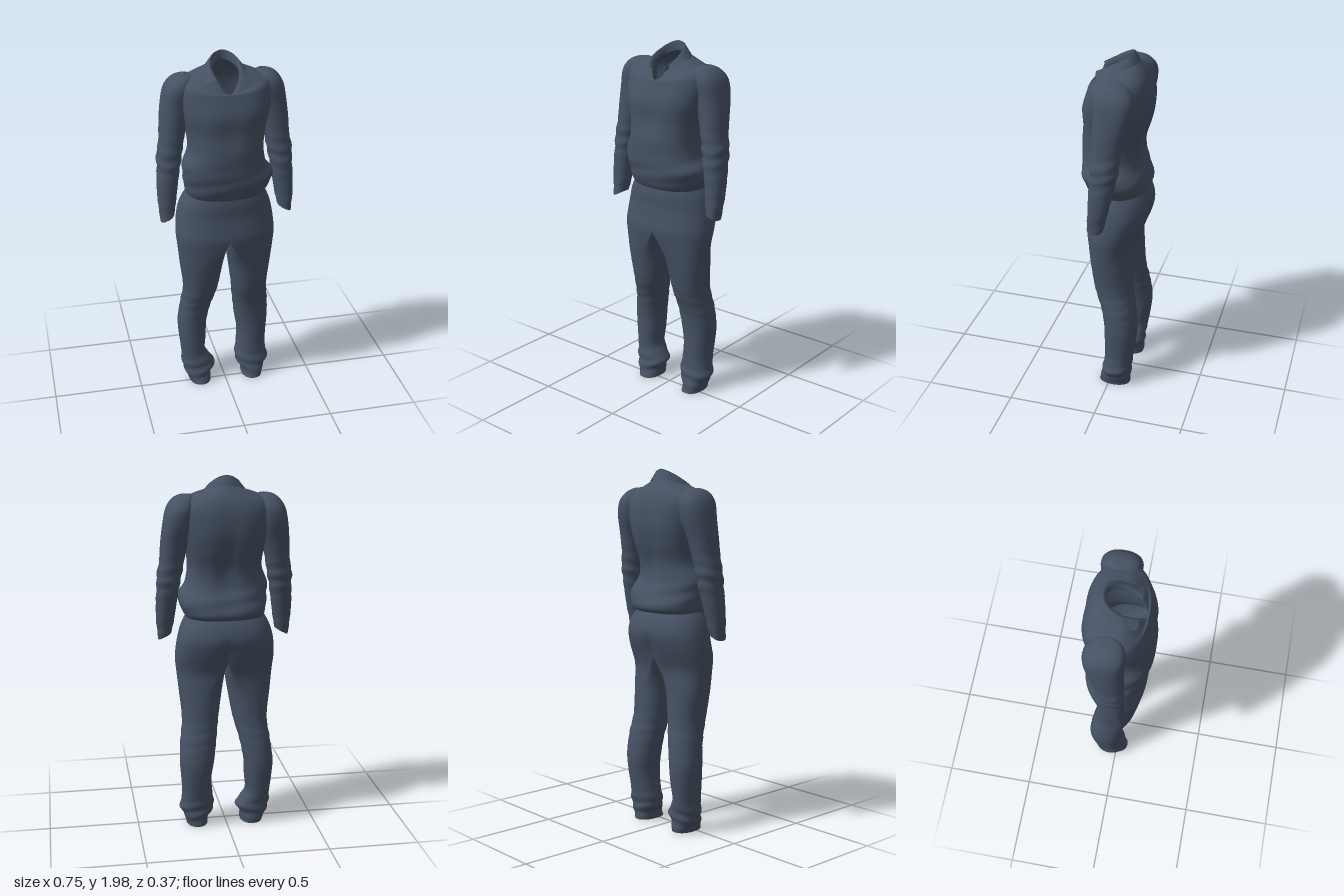
import * as THREE from 'three';

const SEG = 48, SUB = 6;

// Catmull-Rom interpolation of whole table rows
function refine(rows) {
  const out = [], n = rows.length;
  const at = i => rows[Math.min(n - 1, Math.max(0, i))];
  for (let i = 0; i < n - 1; i++) {
    for (let k = 0; k < SUB; k++) {
      const t = k / SUB, [a, b, c, d] = [at(i - 1), at(i), at(i + 1), at(i + 2)];
      out.push(b.map((q, j) => 0.5 * (2 * q + (c[j] - a[j]) * t +
        (2 * a[j] - 5 * q + 4 * c[j] - d[j]) * t * t +
        (3 * q - a[j] - 3 * c[j] + d[j]) * t * t * t)));
    }
  }
  out.push(rows[n - 1]);
  return out;
}

// Triangulates a grid of points; rows run upwards, columns run around
function gridGeometry(rows, closed, skip = () => false) {
  const w = rows[0].length, pos = rows.flat(2), index = [];
  for (let i = 0; i < rows.length - 1; i++) {
    for (let j = 0; j < (closed ? w : w - 1); j++) {
      if (skip(i, j)) continue;
      const k = (j + 1) % w;
      const a = i * w + j, b = a + w, c = i * w + k, d = c + w;
      index.push(a, b, c, c, b, d);
    }
  }
  const g = new THREE.BufferGeometry();
  g.setAttribute('position', new THREE.Float32BufferAttribute(pos, 3));
  g.setIndex(index);
  g.computeVertexNormals();
  return g;
}

const pw = (v, n) => Math.sign(v) * Math.pow(Math.abs(v), 2 / n);
const bump = (v, c, r) => Math.exp(-(((v - c) / r) ** 2));

// One superellipse point: row = [y, x0, x1, zBack, zFront, squareness]
function sectionPoint(row, a, fold = 0) {
  const [y, x0, x1, zb, zf, n] = row;
  const c = pw(Math.cos(a), n), s = pw(Math.sin(a), n), f = 1 + fold;
  return [(x0 + x1) / 2 + (x1 - x0) / 2 * c * f, y, (zb + zf) / 2 + (zf - zb) / 2 * s * f];
}
const around = fn => Array.from({ length: SEG }, (_, j) => fn((j / SEG) * Math.PI * 2, j));

// Shirt body: two more columns are the front dip and back lift of the neckline
function shirtGeometry() {
  const rows = refine([
    [1.225, -0.2, 0.2, -0.14, 0.135, 2.3, 0, 0],
    [1.235, -0.213, 0.218, -0.172, 0.15, 2.3, 0, 0],
    [1.27, -0.222, 0.235, -0.186, 0.165, 2.4, 0, 0],
    [1.34, -0.23, 0.258, -0.165, 0.18, 2.4, 0, 0],
    [1.41, -0.235, 0.215, -0.14, 0.183, 2.4, 0, 0],
    [1.5, -0.205, 0.2, -0.143, 0.185, 2.4, 0, 0],
    [1.6, -0.212, 0.212, -0.172, 0.175, 2.5, 0, 0],
    [1.7, -0.235, 0.235, -0.188, 0.176, 2.5, 0, 0],
    [1.8, -0.25, 0.25, -0.182, 0.148, 2.5, 0.01, 0],
    [1.86, -0.235, 0.235, -0.165, 0.138, 2.4, 0.04, 0],
    [1.892, -0.18, 0.18, -0.14, 0.13, 2.2, 0.075, 0.01],
    [1.915, -0.11, 0.11, -0.105, 0.125, 1.9, 0.097, 0.03],
    [1.925, -0.075, 0.075, -0.085, 0.12, 1.6, 0.115, 0.05],
  ]);
  return gridGeometry(rows.map(r => around(a => {
    const s = Math.sin(a), waist = bump(r[0], 1.33, 0.08);
    const p = sectionPoint(r, a, 0.012 * waist * Math.sin(r[0] * 70 + a * 3));
    // groove along the spine, soft hollow between the chest halves
    if (s < 0) p[2] += 0.022 * bump(p[0], 0, 0.045) * bump(r[0], 1.55, 0.2);
    else p[2] -= 0.008 * bump(p[0], 0, 0.05) * bump(r[0], 1.64, 0.09);
    p[1] += s > 0 ? -r[6] * s * s : r[7] * s * s;
    return p;
  })), true);
}

// Sleeve: inner and outer x are distances from the centre
function sleeveGeometry(side) {
  const rows = refine([
    [1.115, 0.29, 0.363, -0.01, 0.08, 2.3],
    [1.2, 0.277, 0.373, -0.03, 0.075, 2.3],
    [1.3, 0.262, 0.375, -0.053, 0.072, 2.2],
    [1.4, 0.247, 0.37, -0.075, 0.07, 2.2],
    [1.46, 0.235, 0.37, -0.085, 0.066, 2.2],
    [1.54, 0.222, 0.355, -0.095, 0.063, 2.2],
    [1.64, 0.2, 0.349, -0.115, 0.06, 2.2],
    [1.74, 0.175, 0.337, -0.142, 0.06, 2.3],
    [1.82, 0.165, 0.32, -0.145, 0.065, 2.3],
    [1.87, 0.165, 0.288, -0.115, 0.05, 2.2],
    [1.893, 0.175, 0.25, -0.075, 0.015, 2],
    [1.897, 0.2, 0.21, -0.04, -0.03, 2],
  ]);
  return gridGeometry(rows.map(r => {
    const row = side > 0 ? r : [r[0], -r[2], -r[1], r[3], r[4], r[5]];
    const amp = 0.045 * bump(r[0], 1.43, 0.1) + 0.03 * bump(r[0], 1.17, 0.05);
    return around(a => {
      const p = sectionPoint(row, a, amp * Math.sin(r[0] * 85 + 2 * Math.sin(a) + side));
      p[1] += 0.02 * bump(r[0], 1.115, 0.04) * Math.cos(a) * -side; // slanted cuff
      return p;
    });
  }), true);
}

// Trouser half: last column blends a leg tube (0) into half of the hips (1)
const hips = [
  [0.985, 0, 0.275, -0.15, 0.153, 2.3, 1],
  [1.05, 0, 0.272, -0.175, 0.147, 2.3, 1],
  [1.12, 0, 0.262, -0.19, 0.14, 2.3, 1],
  [1.19, 0, 0.24, -0.175, 0.14, 2.3, 1],
  [1.25, 0, 0.205, -0.14, 0.13, 2.3, 1],
];
const thigh = [
  [0.8, 0.02, 0.256, -0.115, 0.118, 2.2, 0.15],
  [0.91, 0.007, 0.268, -0.122, 0.14, 2.2, 0.65],
];
const leftLeg = [
  [0.015, 0.105, 0.225, -0.115, 0.065, 2.2, 0],
  [0.06, 0.1, 0.235, -0.118, 0.052, 2.2, 0],
  [0.12, 0.07, 0.262, -0.122, 0.042, 2.2, 0],
  [0.2, 0.078, 0.25, -0.132, 0.03, 2.2, 0],
  [0.3, 0.085, 0.255, -0.147, 0.03, 2.2, 0],
  [0.4, 0.07, 0.262, -0.155, 0.032, 2.2, 0],
  [0.52, 0.055, 0.256, -0.143, 0.05, 2.2, 0],
  [0.64, 0.04, 0.242, -0.123, 0.09, 2.2, 0], ...thigh, ...hips];
const rightLeg = [
  [0.015, 0.085, 0.21, -0.115, 0.065, 2.2, 0],
  [0.06, 0.085, 0.228, -0.118, 0.052, 2.2, 0],
  [0.12, 0.06, 0.248, -0.122, 0.042, 2.2, 0],
  [0.2, 0.11, 0.25, -0.132, 0.03, 2.2, 0],
  [0.3, 0.105, 0.26, -0.147, 0.03, 2.2, 0],
  [0.4, 0.1, 0.265, -0.155, 0.032, 2.2, 0],
  [0.52, 0.077, 0.25, -0.143, 0.05, 2.2, 0],
  [0.64, 0.045, 0.237, -0.123, 0.09, 2.2, 0], ...thigh, ...hips];

function trouserGeometry(table, side) {
  const rows = refine(table);
  const isHip = i => rows[i][0] >= 0.98;
  const grid = rows.map(r => {
    const row = side > 0 ? r : [r[0], -r[2], -r[1], r[3], r[4], r[5]];
    const m = r[0] >= 0.98 ? 1 : Math.min(1, Math.max(0, r[6]));
    const amp = 0.05 * bump(r[0], 0.1, 0.07) + 0.018 * bump(r[0], 0.55, 0.12);
    return around(a => {
      const p = sectionPoint(row, a, amp * Math.sin(r[0] * 95 + 2 * Math.sin(a + side) + side));
      const half = side * Math.max(0, side * pw(Math.cos(a), r[5])) * r[2];
      p[0] += (half - p[0]) * m;
      // crease of the seat
      if (Math.sin(a) < 0) p[2] += 0.022 * m * bump(p[0], 0, 0.035) * bump(r[0], 1.03, 0.08);
      return p;
    });
  });
  // the hip rows keep only their outer half, so both halves meet as one shell
  const inner = j => side * Math.cos(((j + 0.5) / SEG) * Math.PI * 2) < 0;
  return gridGeometry(grid, true, (i, j) => isHip(i) && inner(j));
}

// Collar: stand, fold and turned-down flap, mirrored about the centre back
function collarGeometry() {
  const edges = [
    [[0, 1.945, -0.08], [0.058, 1.925, -0.04], [0.068, 1.9, 0.03], [0.046, 1.86, 0.1]],
    [[0, 1.997, -0.077], [0.047, 1.982, -0.058], [0.074, 1.942, 0.012], [0.057, 1.888, 0.092]],
    [[0, 1.992, -0.09], [0.056, 1.976, -0.066], [0.086, 1.936, 0.014], [0.07, 1.892, 0.1]],
    [[0, 1.945, -0.113], [0.085, 1.93, -0.078], [0.12, 1.903, 0.015], [0.115, 1.877, 0.092]],
  ];
  return gridGeometry(edges.map(half => {
    const mirrored = half.slice(1).reverse().map(([x, y, z]) => [-x, y, z]);
    const pts = [...mirrored, ...half].map(p => new THREE.Vector3(...p));
    return new THREE.CatmullRomCurve3(pts).getPoints(40).map(p => p.toArray());
  }).reverse(), false);
}

export function createModel() {
  const cloth = new THREE.MeshStandardMaterial({ color: 0x465264, side: THREE.DoubleSide });
  cloth.name = 'slate blue cloth';
  const model = new THREE.Group();
  model.name = 'shirtAndTrousers';
  const add = (name, geometry) => {
    const mesh = new THREE.Mesh(geometry, cloth);
    mesh.name = name;
    model.add(mesh);
  };
  add('shirtBody', shirtGeometry());
  add('collar', collarGeometry());
  add('leftSleeve', sleeveGeometry(1));
  add('rightSleeve', sleeveGeometry(-1));
  add('leftTrouserHalf', trouserGeometry(leftLeg, 1));
  add('rightTrouserHalf', trouserGeometry(rightLeg, -1));
  return model;
}
